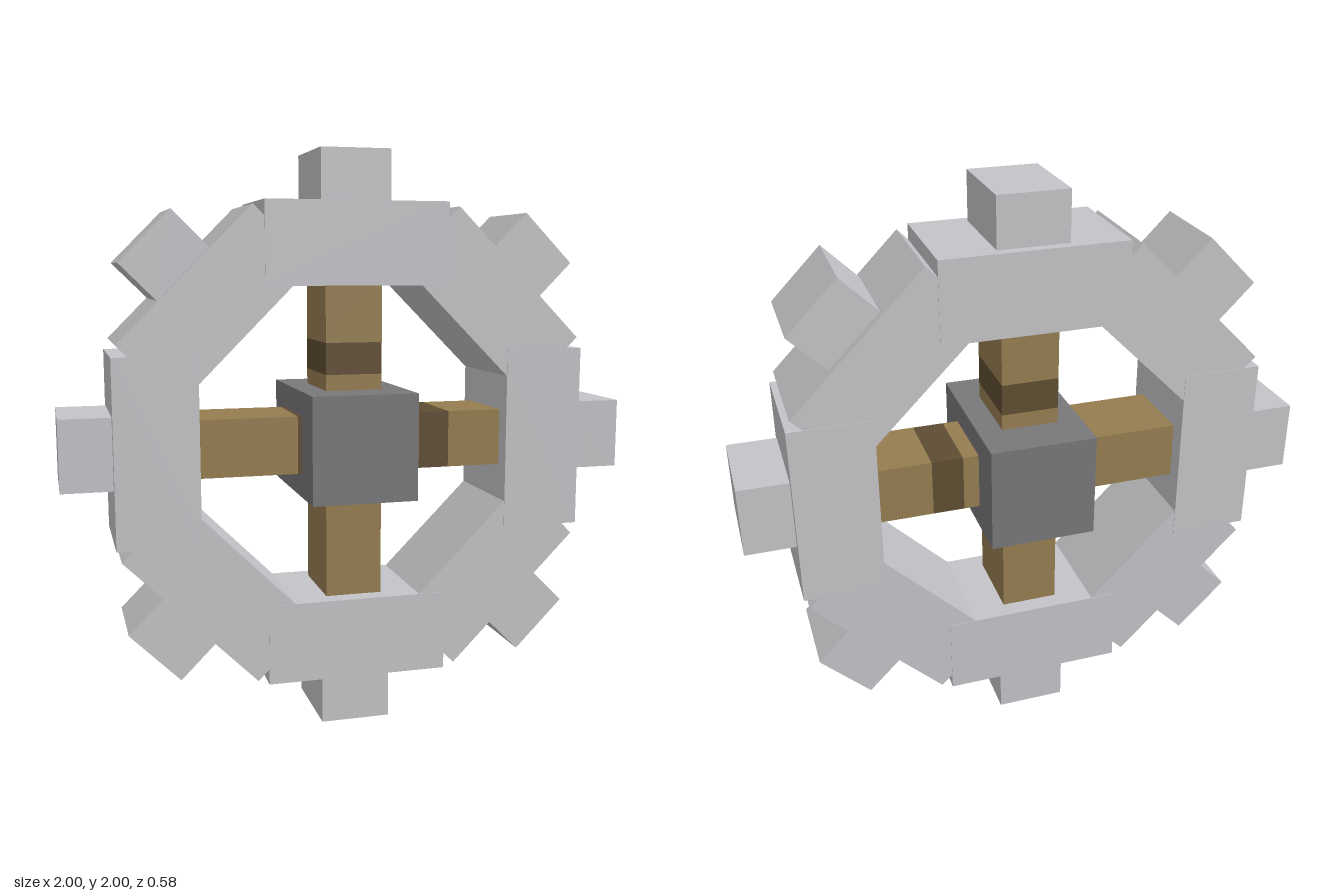
import * as THREE from 'three';

const CENTER_Y = 1;

function material(name, color) {
  const m = new THREE.MeshStandardMaterial({ color });
  m.name = name;
  return m;
}

export function createModel() {
  const rimGrey = material('light grey', 0xc4c4c8);
  const hubGrey = material('dark grey', 0x78787b);
  const wood = material('brown wood', 0x967d50);
  const darkWood = material('dark brown', 0x5f4d33);

  const model = new THREE.Group();
  model.name = 'cogWheel';
  const wheel = new THREE.Group();
  wheel.name = 'wheel';
  wheel.position.y = CENTER_Y;
  model.add(wheel);

  // Block reaching from radius r0 to r1 along the local +y of its parent
  function radialBlock(parent, name, mat, width, r0, r1, depth) {
    const mesh = new THREE.Mesh(new THREE.BoxGeometry(width, r1 - r0, depth), mat);
    mesh.name = name;
    mesh.position.y = (r0 + r1) / 2;
    parent.add(mesh);
  }

  // Eight overlapping rim segments, each with one tooth
  for (let i = 0; i < 8; i++) {
    const sector = new THREE.Group();
    sector.name = 'rimSector';
    sector.rotation.z = (i * Math.PI) / 4;
    radialBlock(sector, 'rimSegment', rimGrey, 0.64, 0.545, 0.827, i % 2 ? 0.396 : 0.4);
    radialBlock(sector, 'tooth', rimGrey, 0.245, 0.8, 1, 0.33);
    wheel.add(sector);
  }

  // Four wooden spokes: up, left, down, right, each split by a dark band
  const bandStarts = [0.24, 0.09, 0.09, 0.24];
  bandStarts.forEach((start, i) => {
    const spoke = new THREE.Group();
    spoke.name = 'spoke';
    spoke.rotation.z = (i * Math.PI) / 2;
    const end = start + 0.11;
    radialBlock(spoke, 'spokeInner', wood, 0.2, 0.05, start, 0.275);
    radialBlock(spoke, 'spokeBand', darkWood, 0.2, start, end, 0.275);
    radialBlock(spoke, 'spokeOuter', wood, 0.2, end, 0.56, 0.275);
    wheel.add(spoke);
  });

  // Hub block, longer along the axle
  const hub = new THREE.Mesh(new THREE.BoxGeometry(0.37, 0.37, 0.58), hubGrey);
  hub.name = 'hub';
  wheel.add(hub);

  return model;
}
